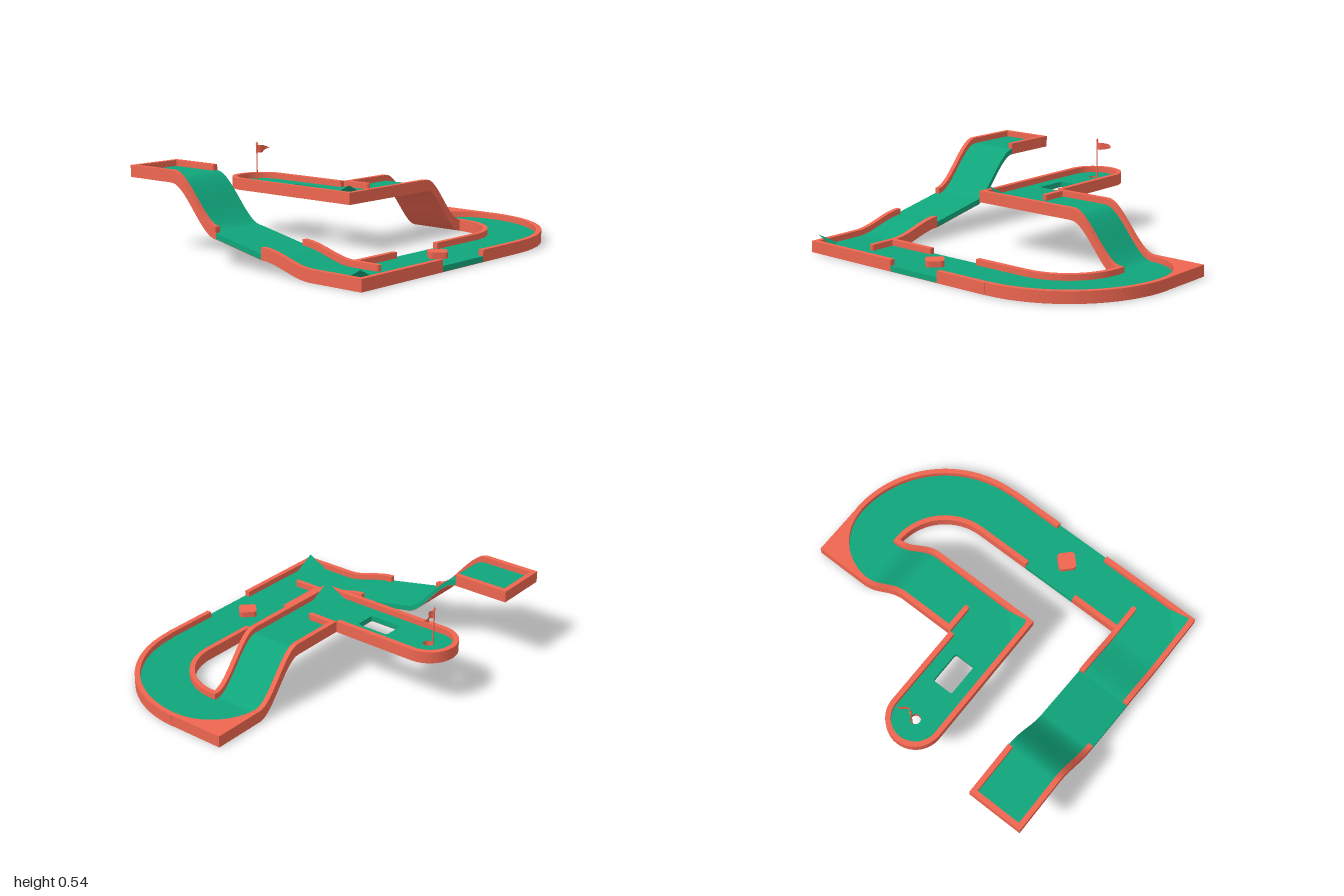
import * as THREE from 'three';
import { toCreasedNormals } from 'three/addons/utils/BufferGeometryUtils.js';

const green = new THREE.MeshStandardMaterial({ color: 0x10a67c, side: THREE.DoubleSide });
const red = new THREE.MeshStandardMaterial({ color: 0xee6650, side: THREE.DoubleSide });

const SKIN = 0.002, FLOOR = 0.033, WALL = 0.067; // heights above the track base
const W = 0.03; // wall thickness
const UP = 0.274; // base of the raised putting green

const ease = (a, b, t) => a + (b - a) * t * t * (3 - 2 * t);

// Base height of the track at a point in plan
function base(x, z) {
  if (x < -0.66) {
    if (z <= -0.51) return 0.408;
    if (z <= -0.17) return ease(0.408, 0.138, (z + 0.51) / 0.34);
    if (z <= 0.165) return 0.138 - 0.068 * (z + 0.17) / 0.335;
    return z < 0.505 ? ease(0.07, 0, (z - 0.165) / 0.34) : 0;
  }
  if (z > 0.17 || x >= 0.675) return 0;
  return x <= 0.35 ? UP : ease(UP, 0, (x - 0.35) / 0.325);
}

function roundedRect(path, cx, cz, hw, hd, r) {
  path.absarc(cx + hw - r, cz + hd - r, r, 0, Math.PI / 2);
  path.absarc(cx - hw + r, cz + hd - r, r, Math.PI / 2, Math.PI);
  path.absarc(cx - hw + r, cz - hd + r, r, Math.PI, Math.PI * 1.5);
  path.absarc(cx + hw - r, cz - hd + r, r, Math.PI * 1.5, Math.PI * 2);
  path.closePath();
  return path;
}

export function createModel() {
  const group = new THREE.Group();

  function add(name, geo, mat) {
    const mesh = new THREE.Mesh(geo, mat);
    mesh.name = name;
    group.add(mesh);
    return mesh;
  }
  // Box in plan whose vertices follow the track height
  function strip(name, mat, x0, x1, z0, z1, lo, hi) {
    const g = new THREE.BoxGeometry(x1 - x0, hi - lo, z1 - z0, x1 - x0 > 0.1 ? 20 : 1, 1, z1 - z0 > 0.1 ? 20 : 1);
    g.translate((x0 + x1) / 2, (lo + hi) / 2, (z0 + z1) / 2);
    const p = g.attributes.position;
    for (let i = 0; i < p.count; i++) p.setY(i, p.getY(i) + base(p.getX(i), p.getZ(i)));
    g.computeVertexNormals();
    return add(name, g, mat);
  }
  const wall = (name, x0, x1, z0, z1) => strip(name, red, x0, x1, z0, z1, 0, WALL);
  const floor = (name, x0, x1, z0, z1) => strip(name, green, x0, x1, z0, z1, SKIN, FLOOR);
  const under = (x0, x1, z0, z1) => strip('underside', red, x0, x1, z0, z1, 0, SKIN);
  // Plan shape (x, z) raised between two heights
  function plate(name, mat, shape, lo, hi) {
    const g = new THREE.ExtrudeGeometry(shape, { depth: hi - lo, bevelEnabled: false, curveSegments: 32 });
    g.rotateX(Math.PI / 2).translate(0, hi, 0);
    return add(name, toCreasedNormals(g, 0.5), mat);
  }
  // Dividing wall with a rounded tip
  function divider(x0, x1, z0, z1) {
    strip('divider', red, x0, x1, z0, z1, FLOOR, WALL);
    const x = (x0 + x1) / 2;
    const tip = new THREE.CylinderGeometry((x1 - x0) / 2, (x1 - x0) / 2, WALL - FLOOR, 20);
    add('dividerTip', tip, red).position.set(x, base(x, z1) + (FLOOR + WALL) / 2, z1);
  }
  // Tilted triangle that deflects the ball in a corner
  function deflector(x, y, z) {
    const g = new THREE.BufferGeometry().setFromPoints([
      new THREE.Vector3(x, y + 0.102, z),
      new THREE.Vector3(x + 0.13, y + FLOOR, z),
      new THREE.Vector3(x, y + FLOOR, z - 0.13)]);
    g.computeVertexNormals();
    add('cornerDeflector', g, green);
  }

  // Descending lane on the right: tee, steep slope, ramp, soft slope, corner
  const L = -1, R = -0.6625;
  floor('teeFloor', L + W, R - W, -0.845 + W, -0.51);
  floor('steepSlopeFloor', L + W, R, -0.51, -0.17);
  floor('rampFloor', L, R, -0.17, 0.165);
  floor('softSlopeFloor', L + W, R - W, 0.165, 0.505);
  floor('cornerFloor', L + W, R, 0.505, 0.845 - W);
  [-0.845, -0.51, -0.17, 0.165, 0.505].forEach((z, i, a) => under(L, R, z, a[i + 1] ?? 0.845));
  wall('teeBackWall', L, R, -0.845, -0.845 + W);
  wall('teeLeftWall', R - W, R, -0.845 + W, -0.51);
  wall('teeRightWall', L, L + W, -0.845 + W, -0.51);
  wall('steepSlopeWall', L, L + W, -0.51, -0.17);
  wall('softSlopeRightWall', L, L + W, 0.165, 0.505);
  wall('softSlopeLeftWall', R - W, R, 0.165, 0.505);
  wall('cornerWall', L, L + W, 0.505, 0.845);
  divider(R - W, R, 0.505, 0.675);
  deflector(L + W, 0, 0.845 - W);

  // Front straight with an open middle
  const cx = 0.33, cz = 0.17, rOut = 0.672, rIn = 0.335;
  const gap0 = -0.36, gap1 = -0.014;
  for (const [a, b] of [[R, gap0], [gap1, cx]]) {
    floor('straightFloor', a, b, 0.505 + W, 0.845 - W);
    wall('straightInnerWall', a, b, 0.505, 0.505 + W);
  }
  wall('straightOuterWall', L + W, gap0, 0.845 - W, 0.845);
  wall('straightOuterWall', gap1, cx, 0.845 - W, 0.845);
  floor('openFloor', gap0, gap1, 0.505, 0.845);
  under(R, cx, 0.505, 0.845);
  const block = plate('obstacle', red, roundedRect(new THREE.Shape(), 0, 0, 0.052, 0.052, 0.022), FLOOR, WALL);
  block.position.set(-0.19, 0, 0.675);
  block.rotation.y = Math.PI / 4;

  // Wide quarter bend
  function band(r0, r1) {
    const s = new THREE.Shape();
    s.absarc(cx, cz, r1, 0, Math.PI / 2, false);
    s.absarc(cx, cz, r0, Math.PI / 2, 0, true);
    s.closePath();
    return s;
  }
  plate('bendFloor', green, band(rIn + W, rOut - W), SKIN, FLOOR);
  plate('bendUnderside', red, band(rIn, rOut), 0, SKIN);
  plate('bendInnerWall', red, band(rIn, rIn + W), 0, WALL);
  plate('bendOuterWall', red, band(rOut - W, rOut), 0, WALL);

  // Square back corner with a rounded inside edge
  const B = -0.17, F = 0.167, X = 0.675;
  const fill = new THREE.Shape();
  fill.moveTo(1, cz);
  fill.lineTo(1, B);
  fill.lineTo(X, B);
  fill.lineTo(X, B + W);
  fill.absarc(0.66, cz, 0.31, -Math.PI / 2 + 0.05, 0, false);
  plate('backCornerWall', red, fill, 0, WALL);
  floor('backCornerFloor', X, 0.985, B + 0.015, cz);
  under(X, 1, B, cz);
  wall('backCornerPost', X, cx + rIn + W, F - W, cz);

  // Ramp up to the raised green
  const gx = -0.153, gr = 0.1665, gz = -0.68;
  for (const [a, b] of [[gx + gr, 0.35], [0.35, X]]) {
    wall('upRampBackWall', a, b, B, B + W);
    floor('upRampFloor', a, b, B + W, F - W);
    under(a, b, B, F);
    wall('upRampFrontWall', a, b, F - W, F);
  }
  divider(gx + gr, gx + gr + W, B, -0.005);

  // Raised putting green with rounded end, window and cup
  function greenOutline(r, zEnd) {
    const s = new THREE.Shape();
    s.moveTo(gx - r, zEnd);
    s.lineTo(gx - r, gz);
    s.absarc(gx, gz, r, Math.PI, Math.PI * 2, false);
    s.lineTo(gx + r, zEnd);
    s.closePath();
    s.holes.push(roundedRect(new THREE.Path(), gx, -0.345, 0.064, 0.1, 0.014));
    s.holes.push(new THREE.Path().absarc(gx, gz, 0.029, 0, Math.PI * 2));
    return s;
  }
  plate('puttingGreen', green, greenOutline(gr - W, F - W), UP + SKIN, UP + FLOOR);
  plate('puttingGreenUnderside', red, greenOutline(gr, F), UP, UP + SKIN);
  floor('greenEntry', gx + gr - W, gx + gr, B, F - W);
  wall('greenFrontWall', gx - gr + W, gx + gr, F - W, F);
  const rim = new THREE.Shape();
  rim.moveTo(gx - gr, F);
  rim.lineTo(gx - gr, gz);
  rim.absarc(gx, gz, gr, Math.PI, Math.PI * 2, false);
  rim.lineTo(gx + gr, B);
  rim.lineTo(gx + gr - W, B);
  rim.lineTo(gx + gr - W, gz);
  rim.absarc(gx, gz, gr - W, Math.PI * 2, Math.PI, true);
  rim.lineTo(gx - gr + W, F);
  plate('greenWall', red, rim, UP, UP + WALL);
  deflector(gx - gr + W, UP, F - W);
  const cup = new THREE.CylinderGeometry(0.0285, 0.0285, FLOOR, 32, 1, true);
  add('cupLining', cup, red).position.set(gx, UP + FLOOR / 2, gz);

  // Flag on its pole
  const poleZ = -0.711;
  add('flagPole', new THREE.CylinderGeometry(0.004, 0.004, 0.225, 12), red).position.set(gx, 0.4125, poleZ);
  add('poleTip', new THREE.ConeGeometry(0.009, 0.018, 12), red).position.set(gx, 0.533, poleZ);
  const flag = new THREE.PlaneGeometry(0.105, 0.044, 14, 1).translate(0.0525, 0, 0);
  const p = flag.attributes.position;
  for (let i = 0; i < p.count; i++) {
    const t = p.getX(i) / 0.105;
    p.setY(i, p.getY(i) * (1 - t * t * t));
    p.setZ(i, 0.015 * Math.sin(t * Math.PI * 2));
  }
  flag.computeVertexNormals();
  add('flag', flag, red).position.set(gx, 0.497, poleZ);

  return group;
}
